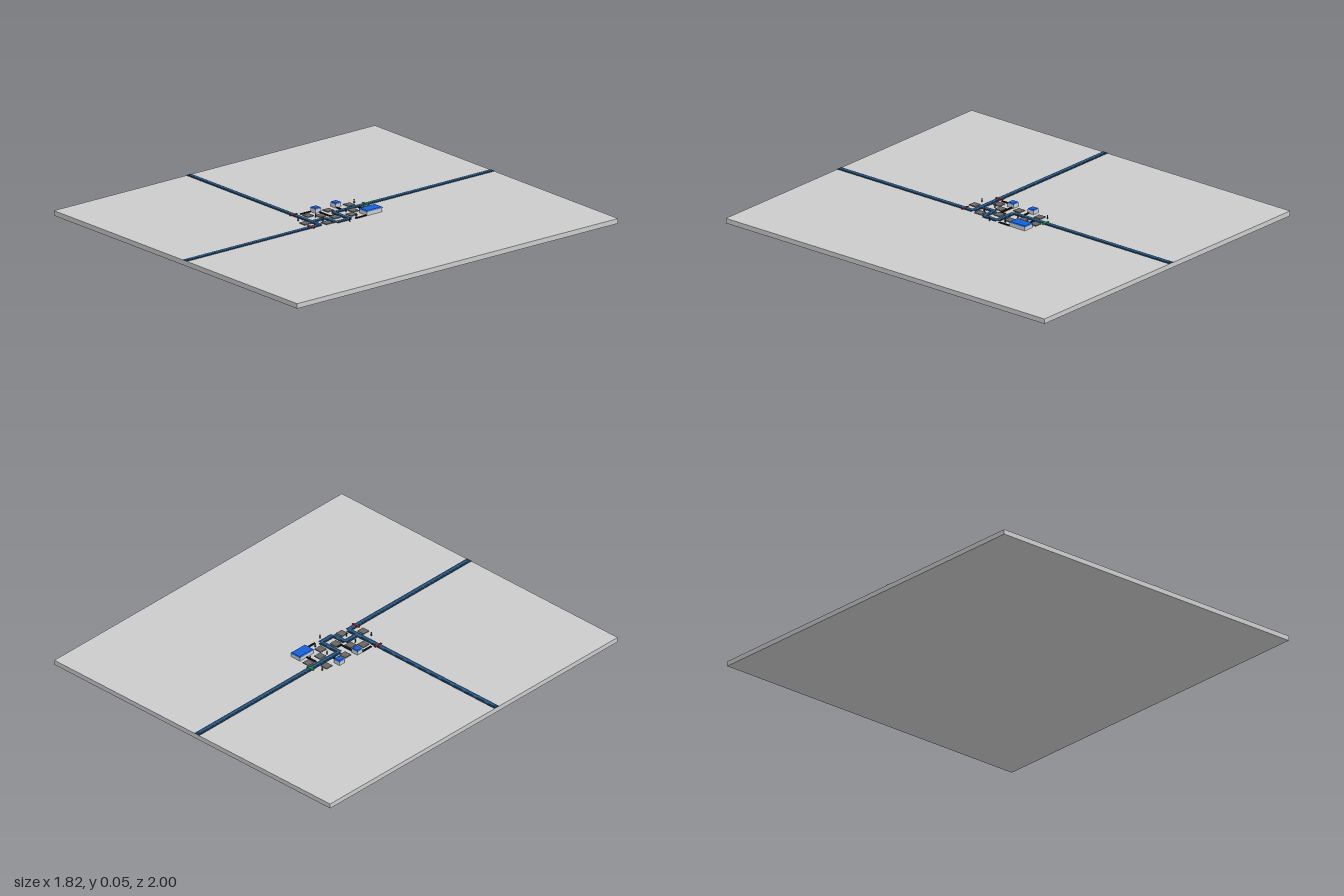
import * as THREE from 'three';

const GREY = 0xcccccc, GROUND = 0.025;
const mats = new Map();
const mat = (color) => {
  if (!mats.has(color)) mats.set(color, new THREE.MeshStandardMaterial({ color, flatShading: true }));
  return mats.get(color);
};

// Box given by its plan centre and size, standing at height y
function block(parent, name, color, x, z, w, d, h, y = GROUND) {
  const mesh = new THREE.Mesh(new THREE.BoxGeometry(w, h, d), mat(color));
  mesh.position.set(x, y + h / 2, z);
  mesh.name = name;
  parent.add(mesh);
  return mesh;
}

// Axis-aligned strips along a list of [x, z] corners
function strips(parent, name, color, points, width, height) {
  for (let i = 1; i < points.length; i++) {
    const [ax, az] = points[i - 1], [bx, bz] = points[i];
    block(parent, name, color, (ax + bx) / 2, (az + bz) / 2,
      Math.abs(bx - ax) + (ax === bx ? width : 0),
      Math.abs(bz - az) + (az === bz ? width : 0), height);
  }
}

function group(parent, name) {
  const g = new THREE.Group();
  g.name = name;
  parent.add(g);
  return g;
}

// Walls under a slightly tapered coloured roof
function building(parent, x, z, w, d) {
  const g = group(parent, 'building');
  block(g, 'walls', GREY, x, z, w * 0.94, d * 0.94, 0.019);
  const roof = block(g, 'roof', 0x1560d8, x, z, w, d, 0.006, GROUND + 0.019);
  const p = roof.geometry.attributes.position;
  for (let i = 0; i < p.count; i++) {
    if (p.getY(i) > 0) p.setXYZ(i, p.getX(i) - Math.sign(p.getX(i)) * 0.004, p.getY(i), p.getZ(i) - Math.sign(p.getZ(i)) * 0.004);
  }
  roof.geometry.computeVertexNormals();
}

// Small standing post with a round head
function figure(parent, x, z) {
  const g = group(parent, 'figure');
  const body = new THREE.Mesh(new THREE.CylinderGeometry(0.002, 0.003, 0.015, 8), mat(0x333333));
  body.position.set(x, GROUND + 0.0075, z);
  body.name = 'body';
  const head = new THREE.Mesh(new THREE.SphereGeometry(0.003, 8, 6), mat(0x333333));
  head.position.set(x, GROUND + 0.017, z);
  head.name = 'head';
  g.add(body, head);
}

export function createModel() {
  const model = new THREE.Group();
  model.name = 'map';

  block(model, 'basePlate', GREY, 0, 0, 1.82, 2, GROUND, 0);

  // Winding road with a lighter centre lane, plus a side branch
  const road = group(model, 'road');
  const main = [[-0.03, -0.985], [-0.03, -0.01], [0.09, -0.01], [0.09, 0.075],
    [0.01, 0.075], [0.01, 0.16], [0.07, 0.16], [0.07, 0.985]];
  const branch = [[-0.895, 0.16], [0.01, 0.16]];
  for (const path of [main, branch]) {
    strips(road, 'roadEdge', 0x1c3852, path, 0.03, 0.002);
    strips(road, 'roadLane', 0x265a88, path, 0.012, 0.003);
  }
  // Road ends at the plate edges
  for (const [x, z] of [[-0.03, -0.99], [0.07, 0.99], [-0.9, 0.16]]) {
    block(road, 'roadEnd', 0x1c3852, x, z, x < -0.5 ? 0.02 : 0.03, x < -0.5 ? 0.03 : 0.02, 0.002);
  }

  // Paved pads beside the road
  const pads = group(model, 'pads');
  for (const [x, z] of [[0.01, -0.18], [-0.07, -0.14], [0.01, -0.1], [0.05, -0.055], [-0.07, -0.01],
    [0.03, 0.03], [-0.03, 0.07], [-0.07, 0.115], [0.07, 0.115], [0.01, 0.2]]) {
    block(pads, 'pad', 0x666666, x, z, 0.04, 0.04, 0.004);
  }

  // Buildings
  const buildings = group(model, 'buildings');
  building(buildings, 0.08, -0.15, 0.062, 0.1);
  building(buildings, -0.094, -0.077, 0.04, 0.038);
  building(buildings, -0.094, 0.048, 0.04, 0.038);

  // Dark footpaths leading from the buildings
  const footpaths = group(model, 'footpaths');
  for (const path of [
    [[-0.01, -0.15], [0.05, -0.15]],
    [[0.106, -0.1], [0.106, -0.035]],
    [[-0.075, -0.066], [-0.045, -0.066]],
    [[-0.075, 0.04], [0.005, 0.04], [0.005, 0.012]],
    [[-0.109, 0.068], [-0.109, 0.13]],
  ]) strips(footpaths, 'footpath', 0x151515, path, 0.009, 0.0045);

  // Start and finish bars across the road
  const bars = group(model, 'bars');
  block(bars, 'startBar', 0x10a818, -0.03, -0.21, 0.044, 0.009, 0.004);
  block(bars, 'finishBar', 0xc01818, 0.07, 0.213, 0.044, 0.009, 0.004);
  block(bars, 'branchBar', 0xc01818, -0.125, 0.16, 0.009, 0.044, 0.004);

  // Little figures
  const figures = group(model, 'figures');
  for (const [x, z] of [[-0.08, -0.18], [0, -0.063], [-0.028, 0.105], [0.12, 0.015],
    [-0.043, 0.2], [0.04, 0.115], [0.028, -0.15], [0.085, -0.055]]) figure(figures, x, z);

  return model;
}
